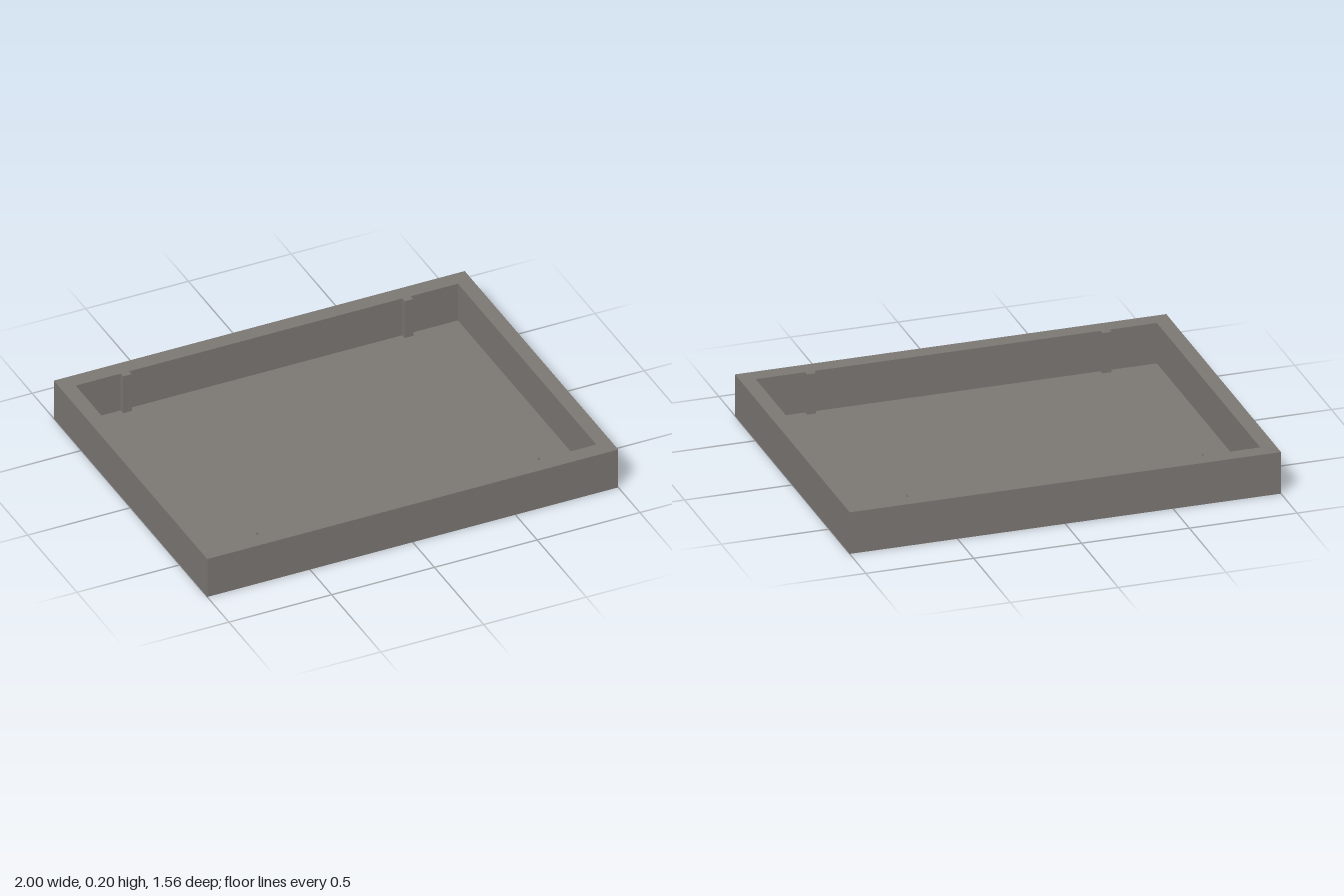
import * as THREE from 'three';

const HEIGHT = 0.2;
const OUTER = { x: 1, z: 0.78 }, INNER = { x: 0.93, z: 0.703 };
const RIB = { halfWidth: 0.021, depth: 0.025, centres: [-0.69, 0.68] };

// Upright band following a closed outline of [x, z] points
function wallBand(points) {
  const positions = [];
  points.forEach(([x0, z0], i) => {
    const [x1, z1] = points[(i + 1) % points.length];
    positions.push(x0, 0, z0, x1, HEIGHT, z1, x1, 0, z1);
    positions.push(x0, 0, z0, x0, HEIGHT, z0, x1, HEIGHT, z1);
  });
  const geometry = new THREE.BufferGeometry();
  geometry.setAttribute('position', new THREE.Float32BufferAttribute(positions, 3));
  geometry.computeVertexNormals();
  return geometry;
}

// One long inner edge, stepping inwards around each rib
function ribbedEdge(z) {
  const step = z - Math.sign(z) * RIB.depth;
  const ribs = RIB.centres.flatMap((x) => [
    [x - RIB.halfWidth, z], [x - RIB.halfWidth, step],
    [x + RIB.halfWidth, step], [x + RIB.halfWidth, z],
  ]);
  return [[-INNER.x, z], ...ribs, [INNER.x, z]];
}

export function createModel() {
  const model = new THREE.Group();
  const grey = new THREE.MeshStandardMaterial({ color: 0x7c7874, side: THREE.DoubleSide });
  grey.name = 'warmGrey';
  const black = new THREE.MeshStandardMaterial({ color: 0x060606 });
  black.name = 'black';

  const add = (name, geometry, material) => {
    const mesh = new THREE.Mesh(geometry, material);
    mesh.name = name;
    model.add(mesh);
  };

  const outer = [[-OUTER.x, -OUTER.z], [OUTER.x, -OUTER.z], [OUTER.x, OUTER.z], [-OUTER.x, OUTER.z]];
  const inner = [...ribbedEdge(-INNER.z), ...ribbedEdge(INNER.z).reverse()];
  const toVectors = (points) => points.map(([x, z]) => new THREE.Vector2(x, z));

  // Hollow frame, open underneath: outer walls, ribbed inner walls and flat rim
  add('outerWalls', wallBand(outer), grey);
  add('innerWallsWithRibs', wallBand(inner), grey);
  const rim = new THREE.Shape(toVectors(outer));
  rim.holes.push(new THREE.Path(toVectors(inner)));
  add('rim', new THREE.ShapeGeometry(rim).rotateX(-Math.PI / 2).translate(0, HEIGHT, 0), grey);

  // Thin floor inside the frame
  const floor = new THREE.BoxGeometry(INNER.x * 2, 0.003, INNER.z * 2);
  add('floor', floor.translate(0, 0.0045, 0), grey);

  // Black screen under the floor, running out beneath the +x wall
  const screenEnd = OUTER.x - 0.001;
  const screen = new THREE.BoxGeometry(screenEnd + INNER.x, 0.003, INNER.z * 2);
  add('screen', screen.translate((screenEnd - INNER.x) / 2, 0.0015, 0), black);

  return model;
}
